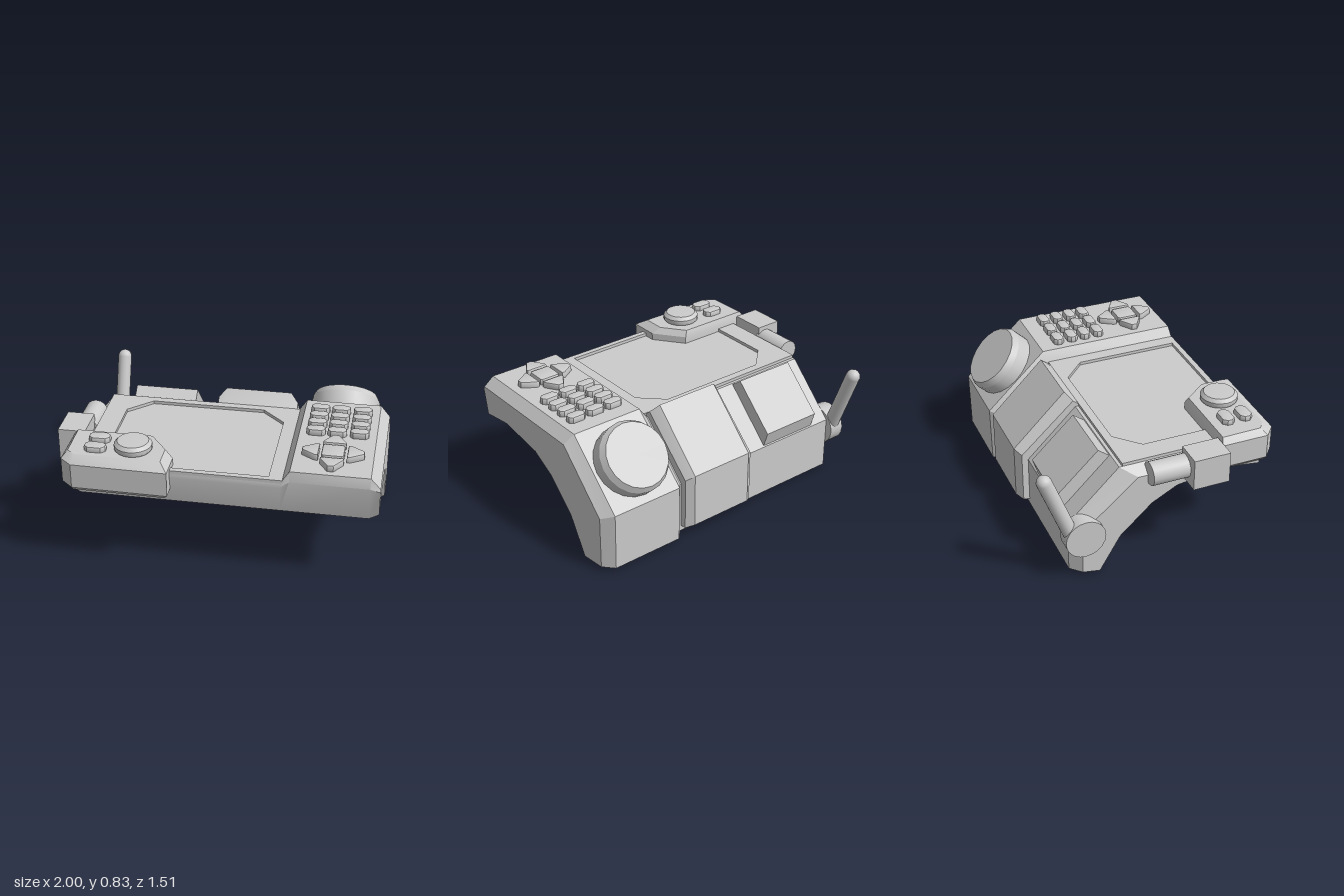
import * as THREE from 'three';
import { toCreasedNormals } from 'three/addons/utils/BufferGeometryUtils.js';

const material = new THREE.MeshStandardMaterial({ color: 0xcccccc });

// Closed solid through a row of equal-length rings: levels = [[w, [[u, v], ...]], ...]
function loft(levels, place, crease = 0.5) {
  const n = levels[0][1].length;
  const verts = levels.flatMap(([w, ring]) => ring.map(([u, v]) => place(u, v, w)));
  const tris = [];
  for (let k = 0; k < levels.length - 1; k++) {
    for (let i = 0; i < n; i++) {
      const a = k * n + i, b = k * n + (i + 1) % n;
      tris.push([a, b, b + n], [a, b + n, a + n]);
    }
  }
  // end caps, wound to match their ring
  [0, levels.length - 1].forEach((k) => {
    const pts = levels[k][1].map(([u, v]) => new THREE.Vector2(u, v));
    const ringSign = Math.sign(THREE.ShapeUtils.area(pts));
    for (const t of THREE.ShapeUtils.triangulateShape(pts.slice(), [])) {
      const same = Math.sign(THREE.ShapeUtils.area(t.map((i) => pts[i]))) === ringSign;
      const f = t.map((i) => i + k * n);
      tris.push(same === (k > 0) ? f : f.reverse());
    }
  });
  // turn all faces outward
  let volume = 0;
  for (const [a, b, c] of tris) volume += verts[a].dot(verts[b].clone().cross(verts[c]));
  if (volume < 0) tris.forEach((t) => t.reverse());
  const geo = new THREE.BufferGeometry().setFromPoints(tris.flat().map((i) => verts[i]));
  return toCreasedNormals(geo, crease);
}
const alongX = (z, y, x) => new THREE.Vector3(x, y, z);
const alongY = (x, z, y) => new THREE.Vector3(x, y, z);

// Soft-edged key: outline in x/z, rising from y = 0
function keyGeometry(points, height, bevel) {
  const shape = new THREE.Shape(points.map(([x, z]) => new THREE.Vector2(x, -z)));
  const geo = new THREE.ExtrudeGeometry(shape, {
    depth: height - bevel, bevelEnabled: true, bevelSize: bevel, bevelOffset: -bevel,
    bevelThickness: bevel, bevelSegments: 2,
  });
  geo.rotateX(-Math.PI / 2);
  return toCreasedNormals(geo, 0.7);
}
const octagon = (w, d, c) => [
  [w - c, -d], [w, -d + c], [w, d - c], [w - c, d],
  [-w + c, d], [-w, d - c], [-w, -d + c], [-w + c, -d],
].reverse();

export function createModel() {
  const model = new THREE.Group();
  const add = (name, geo, x = 0, y = 0, z = 0, parent = model) => {
    const mesh = new THREE.Mesh(geo, material);
    mesh.name = name;
    mesh.position.set(x, y, z);
    parent.add(mesh);
    return mesh;
  };

  // Body: wedge with an arched underside, raised on its left half
  const arch = [[-0.34, 0], [-0.22, 0.21], [-0.06, 0.355], [0.15, 0.47], [0.43, 0.51], [0.64, 0.48]];
  const edgeArch = [[-0.38, 0.01], [-0.25, 0.235], [-0.05, 0.42], [0.11, 0.505], [0.43, 0.55], [0.65, 0.52]];
  const raised = [[0.66, 0.765], [-0.235, 0.765], [-0.62, 0.4], [-0.615, 0.03], ...arch, [0.68, 0.705]];
  const low = [[0.67, 0.685], [-0.235, 0.685], [-0.555, 0.37], [-0.555, 0.03], ...arch, [0.675, 0.66]];
  const leftEdge = [[0.67, 0.706], [-0.21, 0.706], [-0.55, 0.37], [-0.55, 0.03], ...edgeArch, [0.68, 0.69]];
  const rightEdge = [[0.65, 0.63], [-0.14, 0.63], [-0.49, 0.33], [-0.49, 0.03], ...edgeArch, [0.655, 0.61]];
  add('body', loft([
    [-0.865, rightEdge], [-0.8, low], [0.415, low], [0.47, raised], [0.94, raised], [1, leftEdge],
  ], alongX));

  // Deck plate framing the recessed screen
  const plate = new THREE.Shape([[-0.8, -0.67], [0.43, -0.67], [0.43, 0.215], [-0.8, 0.215]]
    .map((p) => new THREE.Vector2(...p)));
  plate.holes.push(new THREE.Path([
    [-0.665, -0.635], [-0.665, 0.025], [-0.52, 0.165], [0.2, 0.165], [0.345, 0.025], [0.345, -0.635],
  ].map((p) => new THREE.Vector2(...p))));
  const plateGeo = new THREE.ExtrudeGeometry(plate, { depth: 0.025, bevelEnabled: false });
  plateGeo.rotateX(-Math.PI / 2);
  add('screenFrame', plateGeo, 0, 0.68, 0);

  // Chamfered housing wrapped over the back slope
  const seat = [[-0.5, 0.06], [-0.5, 0.38], [-0.215, 0.66]];
  const hump = [[-0.215, 0.705], [-0.29, 0.777], [-0.63, 0.44], [-0.63, 0.09], ...seat];
  const humpEdge = [[-0.215, 0.7], [-0.25, 0.73], [-0.595, 0.41], [-0.595, 0.07], ...seat];
  add('rearHousing', loft([[-0.107, humpEdge], [-0.06, hump], [0.36, hump], [0.407, humpEdge]], alongX));

  // Plain block on the slope beside it
  const block = [[-0.225, 0.67], [-0.31, 0.735], [-0.58, 0.475], [-0.54, 0.35], [-0.26, 0.6]];
  add('rearBlock', loft([[-0.665, block], [-0.26, block]], alongX));

  // Tilted dial on the raised slope
  const dial = new THREE.LatheGeometry(
    [[0, -0.03], [0.22, -0.03], [0.222, 0.09], [0.2, 0.13], [0, 0.13]].map((p) => new THREE.Vector2(...p)), 20);
  add('dial', toCreasedNormals(dial, 0.5), 0.7, 0.585, -0.425).rotation.x = -Math.atan2(0.385, 0.365);

  // Number keys
  const keypad = new THREE.Group();
  keypad.name = 'keypad';
  model.add(keypad);
  const keyGeo = keyGeometry(octagon(0.058, 0.034, 0.02), 0.045, 0.012);
  for (const z of [-0.1, -0.005, 0.087, 0.18]) {
    for (const x of [0.57, 0.7, 0.835]) add('key', keyGeo, x, 0.76, z, keypad);
  }

  // Direction keys around a square centre key
  const directionPad = new THREE.Group();
  directionPad.name = 'directionPad';
  directionPad.position.set(0.7, 0.76, 0.435);
  model.add(directionPad);
  add('centreKey', keyGeometry(octagon(0.068, 0.068, 0.012), 0.045, 0.012), 0, 0, 0, directionPad);
  const arrow = keyGeometry([
    [-0.07, -0.085], [0.07, -0.085], [0.07, -0.105], [0.018, -0.185], [-0.018, -0.185], [-0.07, -0.105],
  ].reverse(), 0.045, 0.01);
  for (let i = 0; i < 4; i++) {
    add('arrowKey', arrow, 0, 0, 0, directionPad).rotation.y = i * Math.PI / 2;
  }

  // Control pod on the front right corner
  const podOuter = [[-0.895, 0.38], [-0.38, 0.38], [-0.24, 0.565], [-0.24, 0.75], [-0.82, 0.745], [-0.895, 0.68]];
  const podTop = [[-0.865, 0.395], [-0.4, 0.395], [-0.29, 0.54], [-0.29, 0.685], [-0.81, 0.685], [-0.86, 0.645]];
  const podBase = [[-0.875, 0.39], [-0.39, 0.39], [-0.26, 0.57], [-0.26, 0.73], [-0.815, 0.725], [-0.875, 0.67]];
  add('controlPod', loft([[0.55, podBase], [0.575, podOuter], [0.73, podOuter], [0.77, podTop]], alongY));
  const podKey = keyGeometry(octagon(0.065, 0.04, 0.024), 0.04, 0.012);
  for (const z of [0.495, 0.61]) add('podKey', podKey, -0.7, 0.765, z);
  const knob = new THREE.LatheGeometry(
    [[0, 0], [0.1, 0], [0.115, 0.018], [0.115, 0.045], [0.095, 0.066], [0, 0.07]]
      .map((p) => new THREE.Vector2(...p)), 20);
  add('podKnob', toCreasedNormals(knob, 0.7), -0.48, 0.76, 0.56);

  // Side connector: square socket with a round barrel behind
  add('sideSocket', new THREE.BoxGeometry(0.17, 0.2, 0.23), -0.915, 0.65, 0.265);
  const barrel = toCreasedNormals(new THREE.CylinderGeometry(0.073, 0.073, 0.25, 16), 0.6);
  add('sideBarrel', barrel, -0.882, 0.65, 0.045).rotation.x = Math.PI / 2;

  // Antenna on its round hinge
  const hinge = toCreasedNormals(new THREE.CylinderGeometry(0.125, 0.125, 0.1, 20), 0.6);
  add('antennaHinge', hinge, -0.85, 0.3, -0.48).rotation.z = Math.PI / 2;
  const rod = new THREE.CapsuleGeometry(0.046, 0.47, 5, 14);
  add('antenna', rod, -0.848, 0.52, -0.628).rotation.x = -0.36;

  return model;
}
